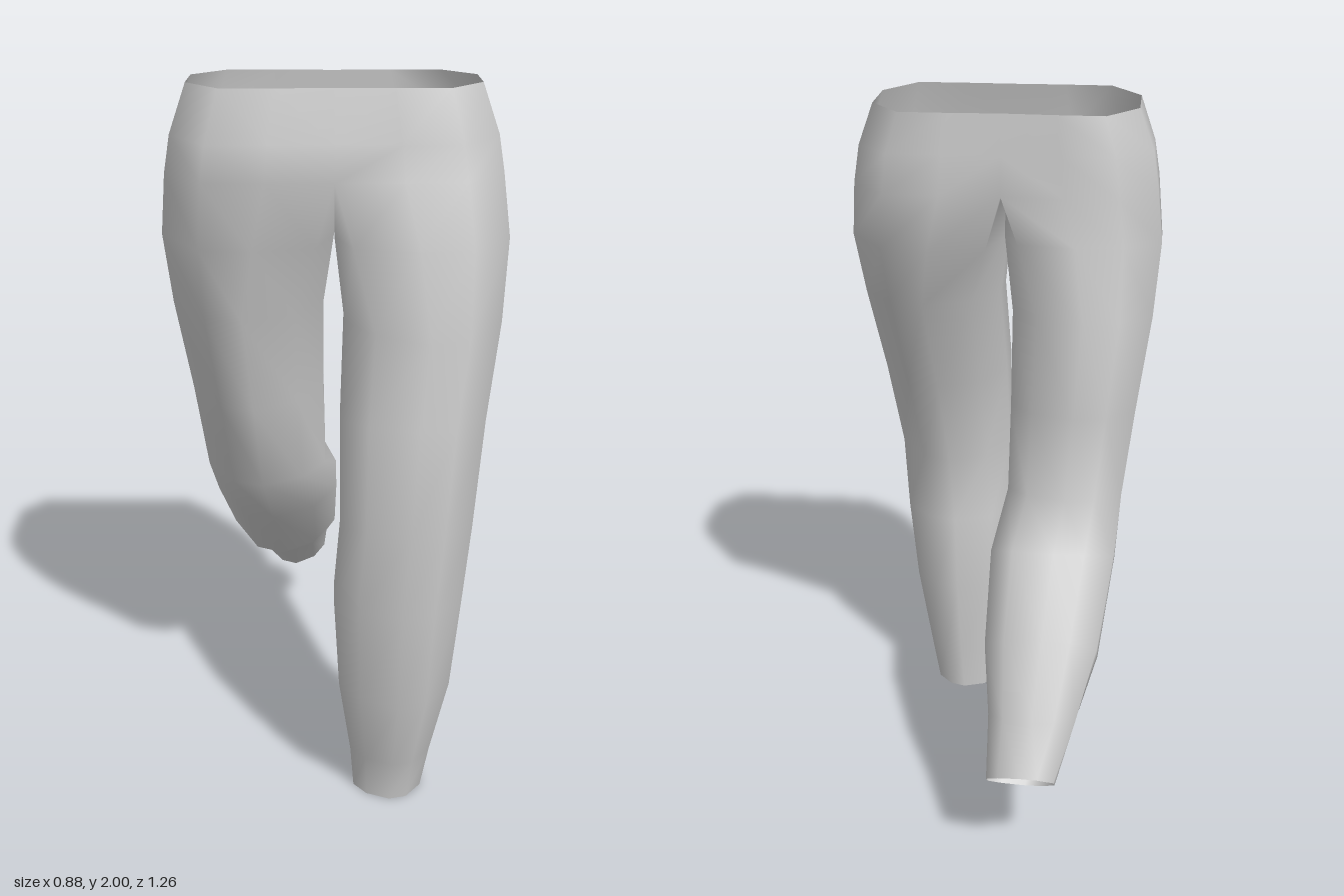
import * as THREE from 'three';
import { mergeVertices } from 'three/addons/utils/BufferGeometryUtils.js';

// Unit cross-sections [across: -1 inner .. 1 outer, depth: 1 front .. -1 back].
const HIP = [[-1, 1], [-0.2, 1.01], [0.53, 1], [1, 0.38], [1, -0.45], [0.53, -1], [-0.2, -1], [-1, -0.97], [-1, -0.33], [-1, 0.33]];
const LEG = [[-0.62, 0.74], [0.05, 1], [0.55, 0.88], [1, 0.32], [1, -0.38], [0.55, -0.86], [0.05, -1], [-0.62, -0.76], [-1, -0.3], [-1, 0.3]];
const SIDES = LEG.length;
const OUTER = 7; // the first 7 strips wrap the outside, the rest form the inseam
const CROTCH = 2; // ring at which the two legs part

// Rings: [inner x, outer x, front z, front y, back z, back y, share of hip shape]
const HIPS = [
  [0, 0.365, 0.395, 2.0, 0.03, 1.98, 1],
  [0, 0.408, 0.425, 1.87, 0.02, 1.87, 1],
  [0, 0.424, 0.435, 1.78, 0.012, 1.76, 1],
];
const FORWARD_LEG = [
  ...HIPS,
  [0.0, 0.44, 0.505, 1.63, 0.02, 1.6, 0.45],
  [0.025, 0.424, 0.55, 1.41, 0.095, 1.42, 0],
  [0.015, 0.387, 0.595, 1.19, 0.2, 1.13, 0],
  [0.015, 0.357, 0.63, 0.92, 0.31, 0.84, 0],
  [-0.002, 0.34, 0.6, 0.66, 0.288, 0.64, 0],
  [0.012, 0.315, 0.6, 0.38, 0.28, 0.4, 0],
  [0.045, 0.27, 0.515, 0.13, 0.302, 0.14, 0],
  [0.055, 0.247, 0.5, 0, 0.31, 0, 0],
];
const BACKWARD_LEG = [
  ...HIPS,
  [0.0, 0.44, 0.41, 1.6, -0.005, 1.63, 0.45],
  [0.028, 0.424, 0.37, 1.4, -0.06, 1.43, 0],
  [0.03, 0.387, 0.29, 1.12, -0.105, 1.17, 0],
  [0.025, 0.357, 0.215, 0.86, -0.105, 0.92, 0],
  [-0.008, 0.345, 0.05, 0.67, -0.24, 0.82, 0],
  [-0.004, 0.312, -0.17, 0.43, -0.41, 0.64, 0],
  [0.022, 0.265, -0.31, 0.355, -0.54, 0.46, 0],
  [0.03, 0.215, -0.485, 0.21, -0.63, 0.34, 0],
];

// Lofts one leg through its rings; side is 1 for left, -1 for right.
function addLeg(rings, side, positions, indices) {
  const base = positions.length / 3;
  for (const [inner, outer, fz, fy, bz, by, hip] of rings) {
    for (let k = 0; k < SIDES; k++) {
      const u = THREE.MathUtils.lerp(LEG[k][0], HIP[k][0], hip);
      const v = THREE.MathUtils.lerp(LEG[k][1], HIP[k][1], hip);
      const x = (inner + outer) / 2 + (u * (outer - inner)) / 2;
      positions.push(side * x, (fy + by) / 2 + (v * (fy - by)) / 2, (fz + bz) / 2 + (v * (fz - bz)) / 2);
    }
  }
  for (let i = 0; i < rings.length - 1; i++) {
    // Above the crotch only the outside is built, leaving one shared waist.
    const strips = i < CROTCH ? OUTER : SIDES;
    for (let k = 0; k < strips; k++) {
      const a = base + i * SIDES + k;
      const d = base + i * SIDES + ((k + 1) % SIDES);
      const b = a + SIDES;
      const c = d + SIDES;
      if (side > 0) indices.push(a, b, d, b, c, d);
      else indices.push(a, d, b, b, d, c);
    }
  }
}

export function createModel() {
  const positions = [];
  const indices = [];
  addLeg(FORWARD_LEG, 1, positions, indices);
  addLeg(BACKWARD_LEG, -1, positions, indices);

  // Weld the halves so shading runs smoothly across the centre seam.
  let geometry = new THREE.BufferGeometry();
  geometry.setAttribute('position', new THREE.Float32BufferAttribute(positions, 3));
  geometry.setIndex(indices);
  geometry = mergeVertices(geometry, 1e-4);
  geometry.computeVertexNormals();

  const trousers = new THREE.Mesh(
    geometry,
    new THREE.MeshStandardMaterial({ color: 0xcccccc, side: THREE.DoubleSide })
  );
  trousers.name = 'trousers';

  const model = new THREE.Group();
  model.name = 'walkingTrousers';
  model.add(trousers);
  return model;
}
